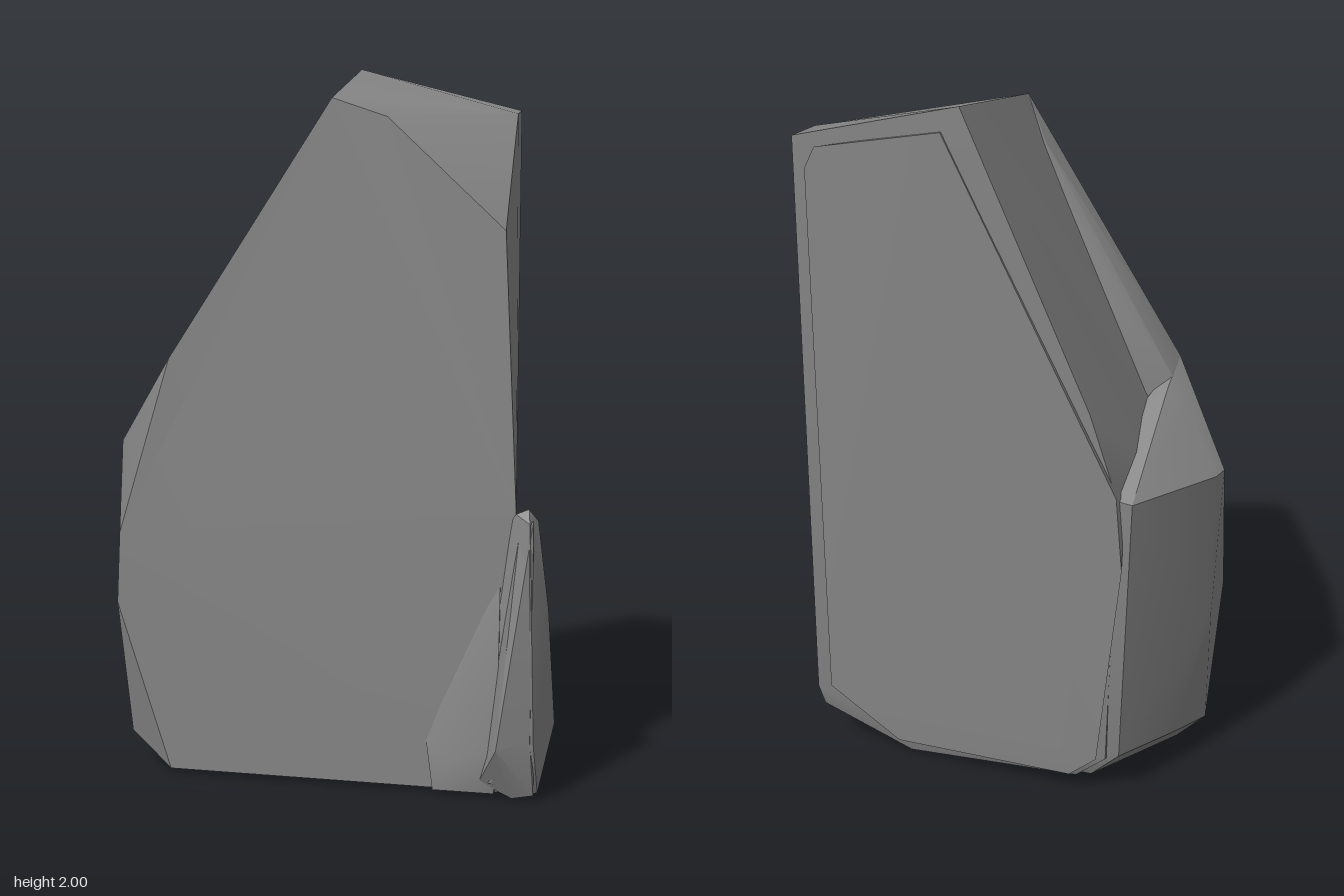
import * as THREE from 'three';
import { ConvexGeometry } from 'three/addons/geometries/ConvexGeometry.js';
import { toCreasedNormals } from 'three/addons/utils/BufferGeometryUtils.js';

// Faceted stone chunk: the convex hull of a few corner points, soft across shallow folds
function chunk(name, corners, material) {
  const points = corners.map((c) => new THREE.Vector3(...c));
  const mesh = new THREE.Mesh(toCreasedNormals(new ConvexGeometry(points), 0.5), material);
  mesh.name = name;
  return mesh;
}

export function createModel() {
  const group = new THREE.Group();
  group.name = 'standingStone';
  const stone = new THREE.MeshStandardMaterial({ color: 0x868686 });

  // Tall slab with a slanted top
  group.add(chunk('slab', [
    // front outline
    [0.01, 1.91, 0.2], [0.16, 1.86, 0.2], [0.48, 1.56, 0.2], [0.52, 0.8, 0.23],
    [0.52, 0.015, 0.24], [-0.46, 0.015, 0.2], [-0.61, 0.5, 0.2], [-0.6, 0.7, 0.2],
    // back outline
    [0.01, 2, -0.31], [0.48, 1.88, -0.31], [0.48, 1.87, -0.17], [0.48, 0.2, -0.31],
    [0.47, 0.13, -0.29], [0.2, 0.015, -0.27], [-0.3, 0.015, -0.22], [-0.4, 0.12, -0.26],
    [-0.42, 0.95, -0.27], [-0.34, 1.2, -0.28], [-0.07, 1.78, -0.305],
  ], stone));

  // Raised rim along the sloping front edge
  group.add(chunk('frontRim', [
    [-0.45, 1.2, 0.2], [0.01, 1.91, 0.2], [-0.6, 0.7, 0.2], [-0.08, 1.77, 0.2],
    [-0.45, 1.17, 0.12], [-0.06, 1.79, 0.15],
    [-0.37, 1.12, 0.03], [-0.2, 1.47, 0.08], [-0.04, 1.78, 0.12], [-0.5, 0.7, 0.1],
  ], stone));

  // Bulging lower flank with a ledge on top
  group.add(chunk('lowerFlank', [
    [-0.63, 0.94, 0.05], [-0.62, 0.94, 0], [-0.46, 0.95, -0.27], [-0.3, 0.97, -0.27],
    [-0.45, 1.2, 0.2], [-0.515, 1.09, 0.08], [-0.45, 1.15, 0.08],
    [-0.6, 0.7, 0.2], [-0.61, 0.5, 0.2], [-0.46, 0.015, 0.2],
    [-0.62, 0.5, 0.02], [-0.6, 0.09, 0.1], [-0.52, 0.015, 0.08],
    [-0.55, 0.12, -0.05], [-0.44, 0.14, -0.26], [-0.34, 0.015, -0.2],
    [0, 0.015, 0.2], [0, 0.015, -0.2],
  ], stone));

  // Thin raised layer on the back
  group.add(chunk('backLayer', [
    [0.06, 1.93, -0.317], [0.41, 1.86, -0.325], [0.44, 1.8, -0.325], [0.43, 0.22, -0.325],
    [0.22, 0.07, -0.312], [-0.3, 0.06, -0.285], [-0.38, 0.13, -0.285],
    [-0.44, 0.75, -0.285], [-0.42, 0.97, -0.287],
    [0.06, 1.93, -0.28], [0.44, 1.8, -0.28], [0.44, 0.2, -0.28],
    [-0.3, 0.06, -0.23], [-0.43, 0.95, -0.24],
  ], stone));

  // Side spur tapering up the front corner, undercut towards the back
  group.add(chunk('sideSpur', [
    [0.52, 0.8, 0.235], [0.555, 0.815, 0.235], [0.58, 0.78, 0.22], [0.56, 0.78, 0.27],
    [0.61, 0.53, 0.2], [0.63, 0.2, 0.17], [0.58, 0.17, 0.29], [0.59, 0.02, 0.24],
    [0.53, 0, 0.22], [0.46, 0.05, 0.27], [0.55, 0.1, -0.08], [0.52, 0.12, -0.2],
    [0.49, 0.2, -0.29], [0.45, 0.1, -0.22], [0.4, 0.05, 0.2], [0.46, 0.7, 0.2],
  ], stone));

  // Splinter leaning on the front of the spur
  group.add(chunk('frontSplinter', [
    [0.53, 0.74, 0.25], [0.57, 0.79, 0.265], [0.48, 0.16, 0.32], [0.57, 0.18, 0.29],
    [0.58, 0.02, 0.265], [0.52, 0.005, 0.255], [0.43, 0.05, 0.26], [0.46, 0.3, 0.22],
    [0.45, 0.03, 0.2], [0.58, 0.4, 0.22],
  ], stone));

  // Low flake at the foot of the front
  group.add(chunk('footFlake', [
    [0.28, 0.15, 0.235], [0.3, 0.015, 0.25], [0.38, 0.42, 0.225], [0.34, 0.1, 0.255],
    [0.47, 0.015, 0.255], [0.48, 0.15, 0.285], [0.48, 0.6, 0.235],
    [0.3, 0.015, 0.18], [0.48, 0.015, 0.18],
  ], stone));

  return group;
}
